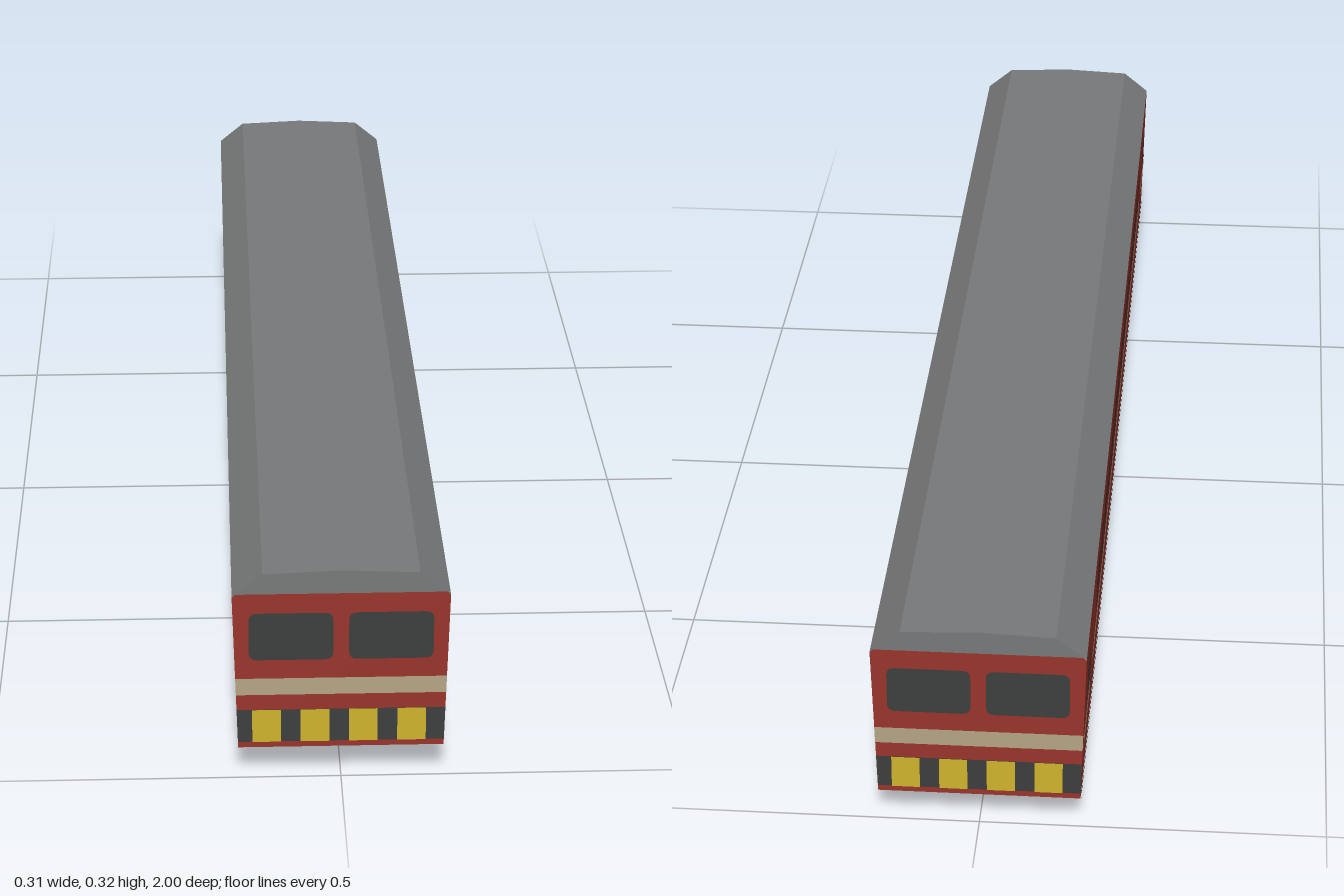
import * as THREE from 'three';

const HALF = 0.999;   // half length of the body
const GAP = 0.001;    // lift of painted plates above the shell
const BOTTOM = 0.048, EAVE = 0.285;

// half width of the slightly flared side wall at height y
const wallX = (y) => 0.146 + 0.007 * (y - BOTTOM) / (EAVE - BOTTOM);

const mat = (name, color) => {
  const m = new THREE.MeshStandardMaterial({ color });
  m.name = name;
  return m;
};

const polygon = (points) => new THREE.Shape(points.map(([x, y]) => new THREE.Vector2(x, y)));

// rectangle with rounded corners, given by its edges
function panel(x0, x1, y0, y1, r = 0) {
  if (!r) return polygon([[x0, y0], [x1, y0], [x1, y1], [x0, y1]]);
  const s = new THREE.Shape();
  s.moveTo(x0 + r, y0).lineTo(x1 - r, y0);
  s.quadraticCurveTo(x1, y0, x1, y0 + r).lineTo(x1, y1 - r);
  s.quadraticCurveTo(x1, y1, x1 - r, y1).lineTo(x0 + r, y1);
  s.quadraticCurveTo(x0, y1, x0, y1 - r).lineTo(x0, y0 + r);
  s.quadraticCurveTo(x0, y0, x0 + r, y0);
  return s;
}

// band across the end wall that follows the flare of the sides
const endBand = (y0, y1) => polygon([
  [-wallX(y0), y0], [wallX(y0), y0], [wallX(y1), y1], [-wallX(y1), y1],
]);

export function createModel() {
  const model = new THREE.Group();
  model.name = 'railCarriage';

  const red = mat('carriage red', 0x99342c);
  const grey = mat('roof grey', 0x78797a);
  const dark = mat('dark grey', 0x3d3e3e);
  const tint = mat('tinted window', 0x4b2d2b);
  const cream = mat('cream stripe', 0xb5a585);
  const yellow = mat('warning yellow', 0xd0b42e);

  function add(parent, name, geometry, material) {
    const mesh = new THREE.Mesh(geometry, material);
    mesh.name = name;
    parent.add(mesh);
    return mesh;
  }

  // extrude a cross-section along the whole carriage
  function alongBody(points) {
    const g = new THREE.ExtrudeGeometry(polygon(points), { depth: 2 * HALF, bevelEnabled: false });
    return g.translate(0, 0, -HALF);
  }

  // shell and faceted roof
  add(model, 'body', alongBody([
    [-0.146, BOTTOM], [0.146, BOTTOM], [0.153, EAVE], [-0.153, EAVE],
  ]), red);
  add(model, 'roof', alongBody([
    [-0.153, EAVE], [0.153, EAVE], [0.11, 0.32], [0, 0.325], [-0.11, 0.32],
  ]), grey);

  // equipment box below the floor
  add(model, 'underfloorBox', new THREE.BoxGeometry(0.213, 0.044, 0.88), dark)
    .position.y = 0.022;

  // end walls, the rear one turned round
  for (const [name, turn] of [['frontEnd', 0], ['rearEnd', Math.PI]]) {
    const end = new THREE.Group();
    end.name = name;
    end.rotation.y = turn;
    model.add(end);
    const plate = (label, shape, material, lift = GAP) =>
      add(end, label, new THREE.ShapeGeometry(shape, 4).translate(0, 0, HALF + lift), material);

    plate('topEdge', polygon([[-0.153, EAVE], [0.153, EAVE], [0.148, 0.29], [-0.148, 0.29]]), red);
    plate('windscreenLeft', panel(0.011, 0.13, 0.187, 0.26, 0.012), dark);
    plate('windscreenRight', panel(-0.13, -0.011, 0.187, 0.26, 0.012), dark);
    plate('endStripe', endBand(0.132, 0.158), cream);
    plate('warningBand', endBand(0.057, 0.108), dark, GAP * 0.5);
    for (let i = 0; i < 4; i++) {
      const x = -0.1055 + i * 0.0685;
      plate('warningBlock', panel(x - 0.0203, x + 0.0203, 0.057, 0.108), yellow, GAP * 1.5);
    }
  }

  // side walls: flat shapes laid onto the flared wall
  for (const [name, s] of [['leftSide', 1], ['rightSide', -1]]) {
    const side = new THREE.Group();
    side.name = name;
    model.add(side);
    const plate = (label, shape, material) => {
      const g = new THREE.ShapeGeometry(shape, 4);
      const p = g.attributes.position;
      for (let i = 0; i < p.count; i++) {
        const u = p.getX(i), y = p.getY(i);
        p.setXYZ(i, s * (wallX(y) + GAP), y, -s * u);
      }
      g.computeVertexNormals();
      add(side, label, g, material);
    };

    for (let i = 0; i < 14; i++) {
      const u = (i - 6.5) * 0.1022;
      plate('passengerWindow', panel(u - 0.039, u + 0.039, 0.177, 0.25, 0.015), tint);
    }
    for (const u of [-0.903, 0.903]) {
      plate('cabWindow', panel(u - 0.037, u + 0.037, 0.172, 0.23, 0.015), dark);
    }
    plate('stripeMiddle', panel(-0.782, 0.782, 0.133, 0.158, 0.004), cream);
    plate('stripeEnd', panel(-HALF, -0.845, 0.133, 0.158), cream);
    plate('stripeEnd', panel(0.845, HALF, 0.133, 0.158), cream);
    plate('sill', panel(-HALF, HALF, BOTTOM, 0.058), dark);
  }

  return model;
}
